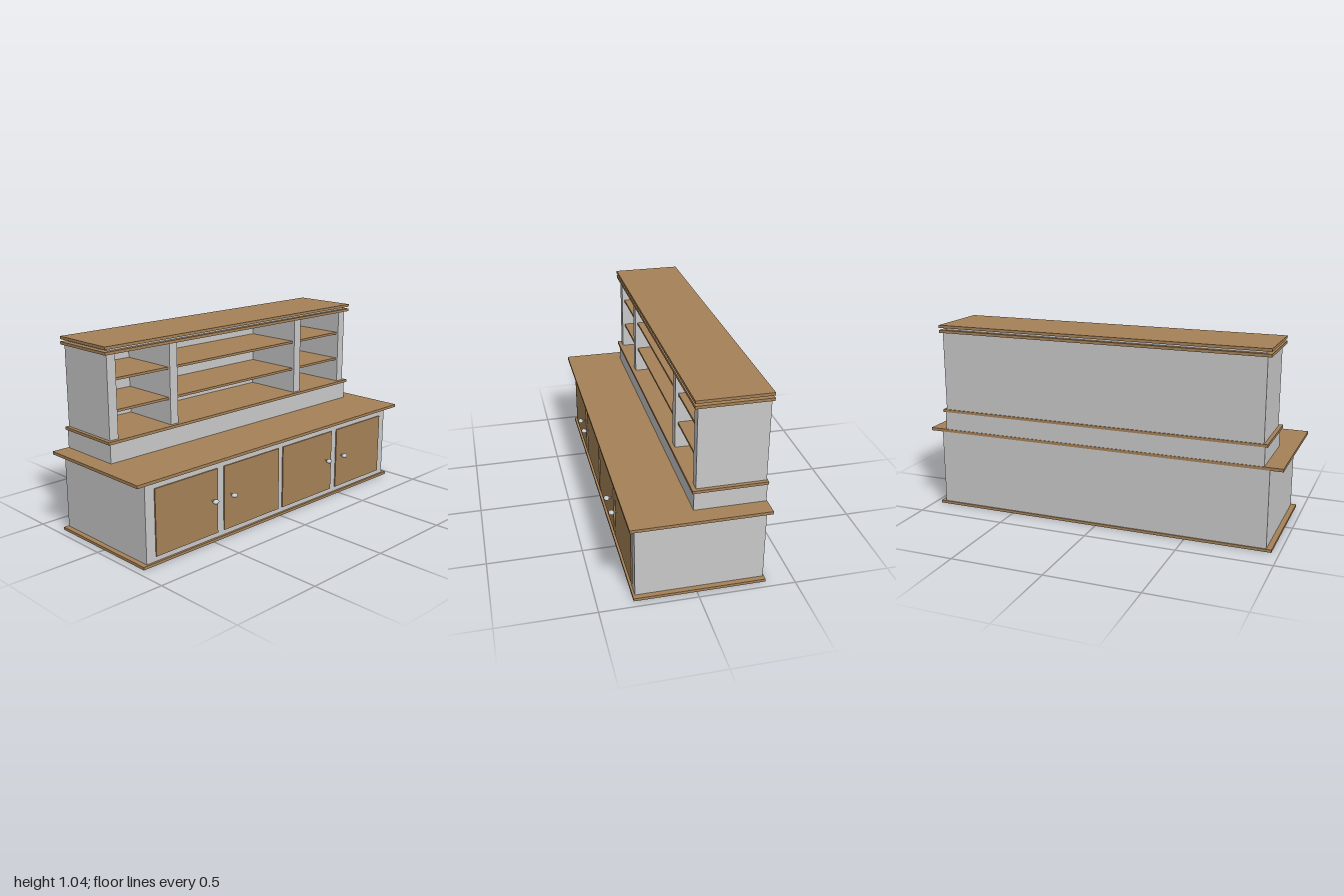
import * as THREE from 'three';

const mat = (name, color) => {
  const m = new THREE.MeshStandardMaterial({ color });
  m.name = name;
  return m;
};

export function createModel() {
  const paint = mat('pale grey paint', 0xc9c9c9);
  const wood = mat('oak wood', 0xa58157);
  const metal = mat('knob metal', 0xc4c9cc);
  const root = new THREE.Group();
  root.name = 'hutchCabinet';

  // Box given by its limits on each axis
  const box = (name, m, x0, x1, y0, y1, z0, z1) => {
    const mesh = new THREE.Mesh(new THREE.BoxGeometry(x1 - x0, y1 - y0, z1 - z0), m);
    mesh.position.set((x0 + x1) / 2, (y0 + y1) / 2, (z0 + z1) / 2);
    mesh.name = name;
    root.add(mesh);
  };

  // Stacked base, counter and riser
  box('plinth', wood, -0.96, 0.96, 0, 0.015, -0.356, 0.32);
  box('baseCabinet', paint, -0.932, 0.932, 0.015, 0.432, -0.35, 0.308);
  box('counter', wood, -1, 1, 0.432, 0.448, -0.356, 0.343);
  box('riser', paint, -0.904, 0.904, 0.448, 0.548, -0.353, 0.013);
  box('hutchFloor', wood, -0.917, 0.917, 0.548, 0.563, -0.355, 0.023);

  // Open hutch: back, end posts and dividers
  box('hutchBack', paint, -0.897, 0.897, 0.563, 0.996, -0.35, -0.338);
  const uprights = [[-0.897, -0.845], [-0.505, -0.455], [0.444, 0.497], [0.845, 0.897]];
  for (const [a, b] of uprights) box('hutchUpright', paint, a, b, 0.563, 0.996, -0.338, 0.002);

  // Two rows of shelves between the uprights
  for (const y of [0.695, 0.856])
    for (let i = 0; i < 3; i++)
      box('shelf', wood, uprights[i][1], uprights[i + 1][0], y, y + 0.013, -0.338, -0.012);

  // Double cornice
  box('lowerCornice', wood, -0.917, 0.917, 0.996, 1.011, -0.357, 0.021);
  box('corniceSpacer', paint, -0.887, 0.887, 1.011, 1.023, -0.333, -0.002);
  box('upperCornice', wood, -0.917, 0.917, 1.023, 1.038, -0.357, 0.021);

  // Doors and their knobs
  const stemGeo = new THREE.CylinderGeometry(0.004, 0.004, 0.022, 12).rotateX(Math.PI / 2);
  const knobGeo = new THREE.SphereGeometry(1, 20, 14).scale(0.018, 0.012, 0.015);
  const doors = [[-0.875, -0.467, -0.507], [-0.421, -0.013, -0.376],
    [0.02, 0.43, 0.38], [0.474, 0.88, 0.518]];
  for (const [a, b, kx] of doors) {
    box('door', wood, a, b, 0.042, 0.392, 0.308, 0.315);
    const handle = new THREE.Group();
    handle.name = 'doorKnob';
    const stem = new THREE.Mesh(stemGeo, metal);
    stem.name = 'knobStem';
    stem.position.z = 0.325;
    const knob = new THREE.Mesh(knobGeo, metal);
    knob.name = 'knobHead';
    knob.position.z = 0.343;
    handle.add(stem, knob);
    handle.position.set(kx, 0.23, 0);
    root.add(handle);
  }
  return root;
}
